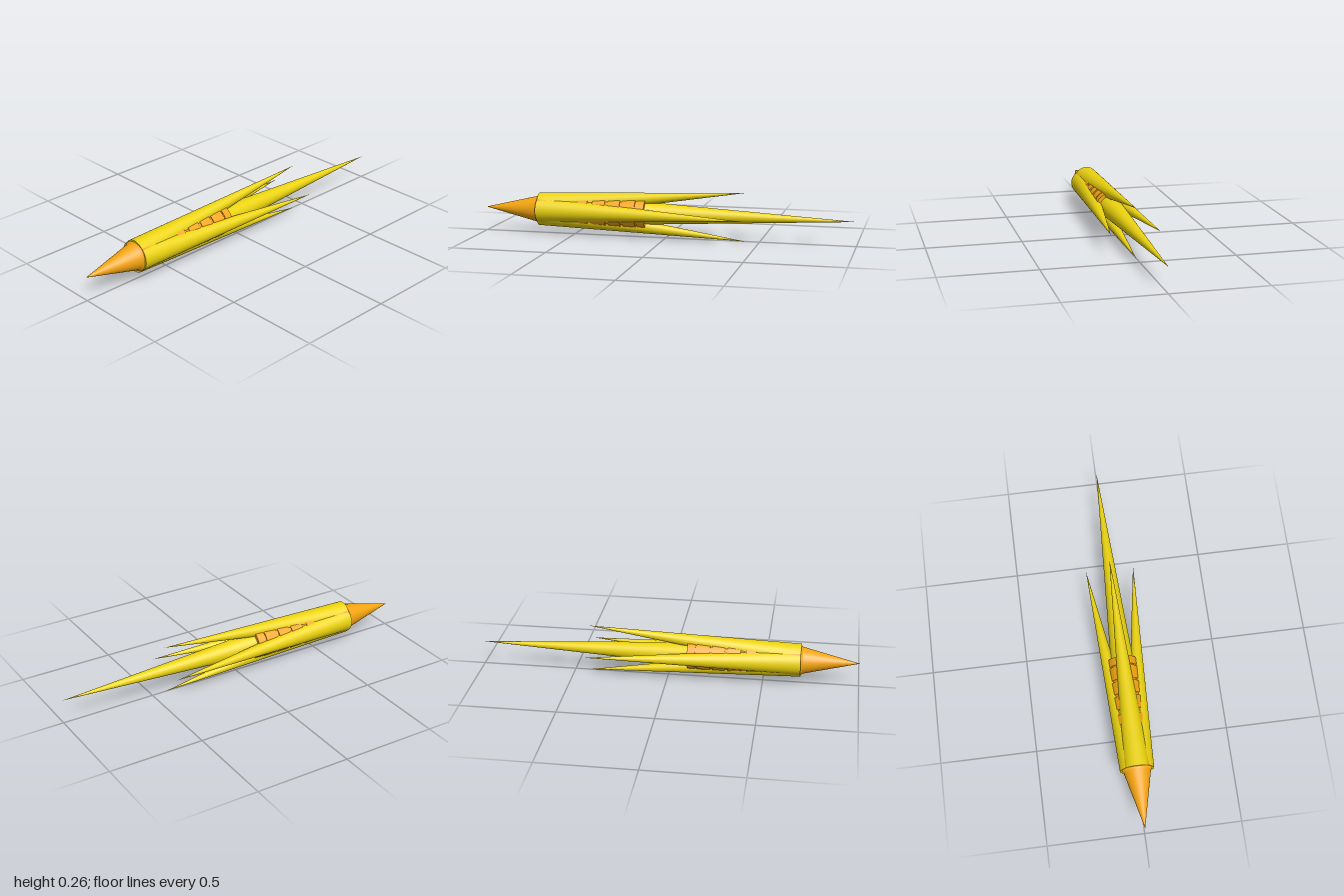
import * as THREE from 'three';

const AXIS_Y = 0.128;   // height of the long axis
const SIDES = 48;

const yellow = new THREE.MeshStandardMaterial({ color: 0xecd40f });
const orange = new THREE.MeshStandardMaterial({ color: 0xf5a510 });

// Round section along z, from zBack to zFront
function section(name, zBack, zFront, rBack, rFront, material) {
  const geo = new THREE.CylinderGeometry(rFront, rBack, zFront - zBack, SIDES);
  geo.rotateX(Math.PI / 2);
  const mesh = new THREE.Mesh(geo, material);
  mesh.name = name;
  mesh.position.z = (zBack + zFront) / 2;
  return mesh;
}

// Spike leaning outward towards the rear, tip pointing back, lying in the +y half plane
function sideSpike(name) {
  const base = new THREE.Vector3(0, 0.02, 0.69);
  const tip = new THREE.Vector3(0, 0.128, -0.425);
  const dir = tip.clone().sub(base);
  const mesh = new THREE.Mesh(new THREE.ConeGeometry(0.068, dir.length(), SIDES, 1), yellow);
  mesh.name = name;
  mesh.position.copy(base).add(tip).multiplyScalar(0.5);
  mesh.quaternion.setFromUnitVectors(new THREE.Vector3(0, 1, 0), dir.normalize());
  return mesh;
}

export function createModel() {
  const model = new THREE.Group();
  model.name = 'spikedDart';
  const body = new THREE.Group();
  body.name = 'body';
  body.position.y = AXIS_Y;
  model.add(body);

  // Pointed nose with a bevelled collar at its base
  body.add(section('noseCone', 0.705, 1, 0.07, 0, orange));
  body.add(section('noseBevel', 0.694, 0.705, 0.079, 0.07, orange));

  // Core, flaring towards the nose
  body.add(section('coreFront', 0.48, 0.694, 0.0755, 0.082, orange));
  body.add(section('coreRear', 0.11, 0.48, 0.074, 0.0745, orange));

  // Raised rings showing between the side spikes
  const rings = [[0.105, 0.147], [0.155, 0.225], [0.237, 0.302], [0.318, 0.385], [0.415, 0.465]];
  rings.forEach(([back, front], i) => {
    body.add(section('ring' + (i + 1), back, front, i === 0 ? 0.078 : 0.08, 0.0785, orange));
  });

  // Long tail spike
  body.add(section('tailSpike', -1, 0.11, 0, 0.06, yellow));

  // Four side spikes around the axis
  ['topSpike', 'rightSpike', 'bottomSpike', 'leftSpike'].forEach((name, i) => {
    const arm = new THREE.Group();
    arm.name = name + 'Arm';
    arm.rotation.z = i * Math.PI / 2;
    arm.add(sideSpike(name));
    body.add(arm);
  });

  return model;
}
